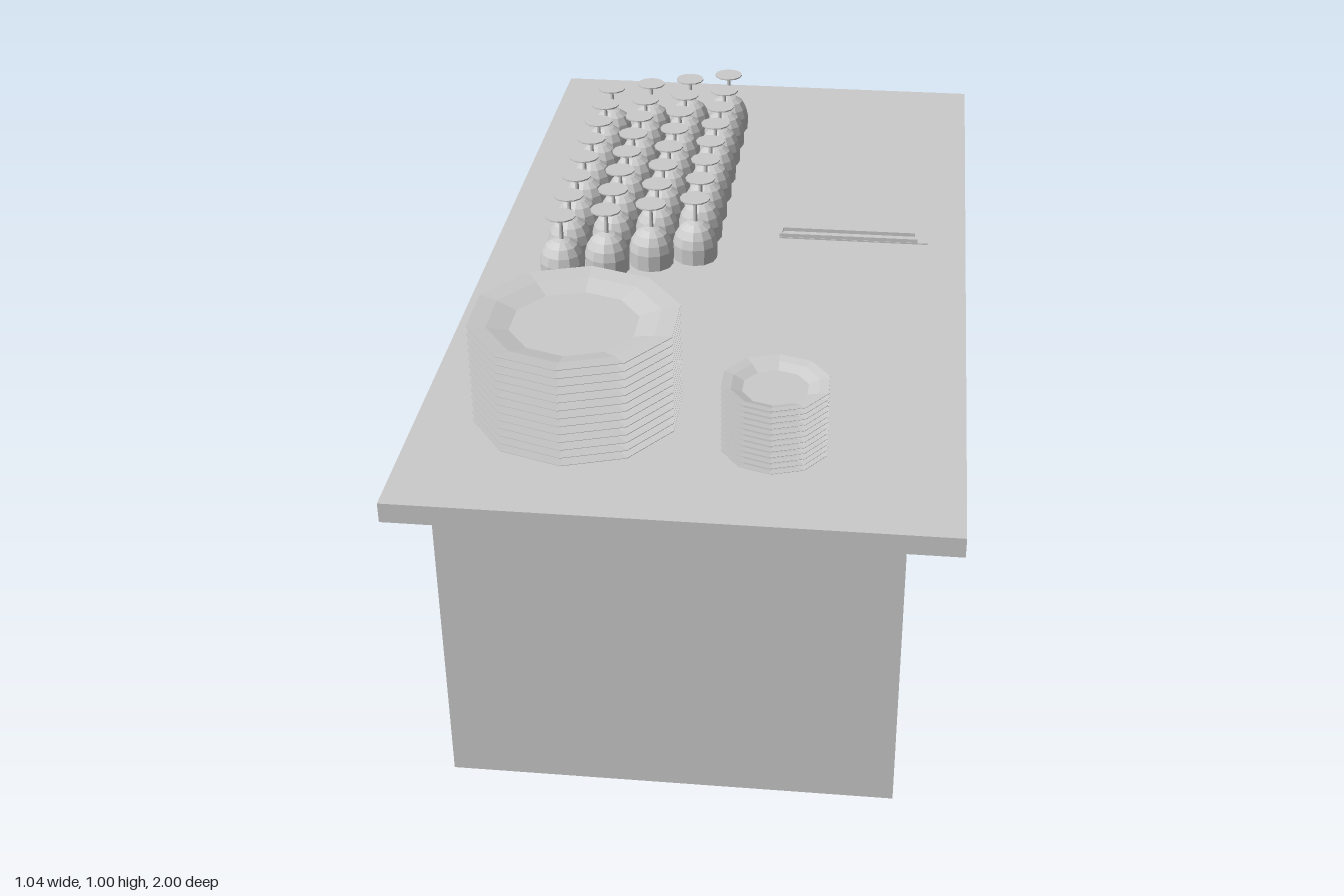
import * as THREE from 'three';

const material = new THREE.MeshStandardMaterial({ color: 0xcccccc, flatShading: true });
const thinMaterial = new THREE.MeshStandardMaterial({ color: 0xcccccc, flatShading: true, side: THREE.DoubleSide });

function mesh(name, geometry, x, y, z, mat = material) {
  const m = new THREE.Mesh(geometry, mat);
  m.name = name;
  m.position.set(x, y, z);
  return m;
}

function lathe(points, sides) {
  return new THREE.LatheGeometry(points.map(([r, y]) => new THREE.Vector2(r, y)), sides);
}

// Stack of flared ten-sided plates with a sunken centre
function plateStack(name, radius, count, top, tableY, x, z) {
  const stack = new THREE.Group();
  stack.name = name;
  const step = (top - tableY) / (count + 0.2);
  const h = step * 1.2;
  const r = radius;
  const plate = lathe([
    [0, 0], [0.6 * r, 0], [0.79 * r, 0.35 * h], [r, 0.95 * h],
    [r, h], [0.82 * r, 0.75 * h], [0.61 * r, 0.2 * h], [0, 0.2 * h],
  ], 10);
  for (let i = 0; i < count; i++) {
    stack.add(mesh('plate', plate, x, tableY + i * step, z));
  }
  return stack;
}

export function createModel() {
  const model = new THREE.Group();
  model.name = 'servingTable';
  const tableY = 0.785;

  // Table body and overhanging top
  model.add(mesh('tableBody', new THREE.BoxGeometry(0.9, 0.745, 1.62), -0.03, 0.3725, 0));
  model.add(mesh('tableTop', new THREE.BoxGeometry(1.04, 0.04, 2), 0, 0.765, 0));

  // Plates
  model.add(plateStack('largePlates', 0.2, 13, 1.005, tableY, -0.213, 0.677));
  model.add(plateStack('smallPlates', 0.102, 12, 0.932, tableY, 0.167, 0.755));

  // Upturned stemmed glasses in four staggered columns
  const glass = lathe([
    [0.044, 0.004], [0.048, 0], [0.049, 0.036], [0.044, 0.056], [0.034, 0.073],
    [0.019, 0.083], [0.005, 0.087], [0.004, 0.13], [0.01, 0.136],
    [0.033, 0.139], [0.033, 0.142], [0, 0.142],
  ], 12);
  const glasses = new THREE.Group();
  glasses.name = 'glasses';
  for (let col = 0; col < 4; col++) {
    for (let row = 0; row < 8; row++) {
      const x = -0.345 + col * 0.0915;
      const z = 0.105 - row * 0.1014 - col * 0.038;
      glasses.add(mesh('glass', glass, x, tableY, z, thinMaterial));
    }
  }
  model.add(glasses);

  // Slim tray: thin floor with a low rim
  const tray = new THREE.Group();
  tray.name = 'tray';
  tray.add(mesh('trayFloor', new THREE.BoxGeometry(0.32, 0.003, 0.037), 0.275, 0.8475, -0.013));
  const rim = new THREE.Shape();
  rim.moveTo(-0.149, -0.0175).lineTo(0.149, -0.0175).lineTo(0.149, 0.0175).lineTo(-0.149, 0.0175).closePath();
  const hole = new THREE.Path();
  hole.moveTo(-0.143, -0.012).lineTo(-0.143, 0.012).lineTo(0.143, 0.012).lineTo(0.143, -0.012).closePath();
  rim.holes.push(hole);
  const rimGeometry = new THREE.ExtrudeGeometry(rim, { depth: 0.008, bevelEnabled: false });
  rimGeometry.rotateX(-Math.PI / 2);
  tray.add(mesh('trayRim', rimGeometry, 0.264, 0.849, -0.013));
  model.add(tray);

  return model;
}
